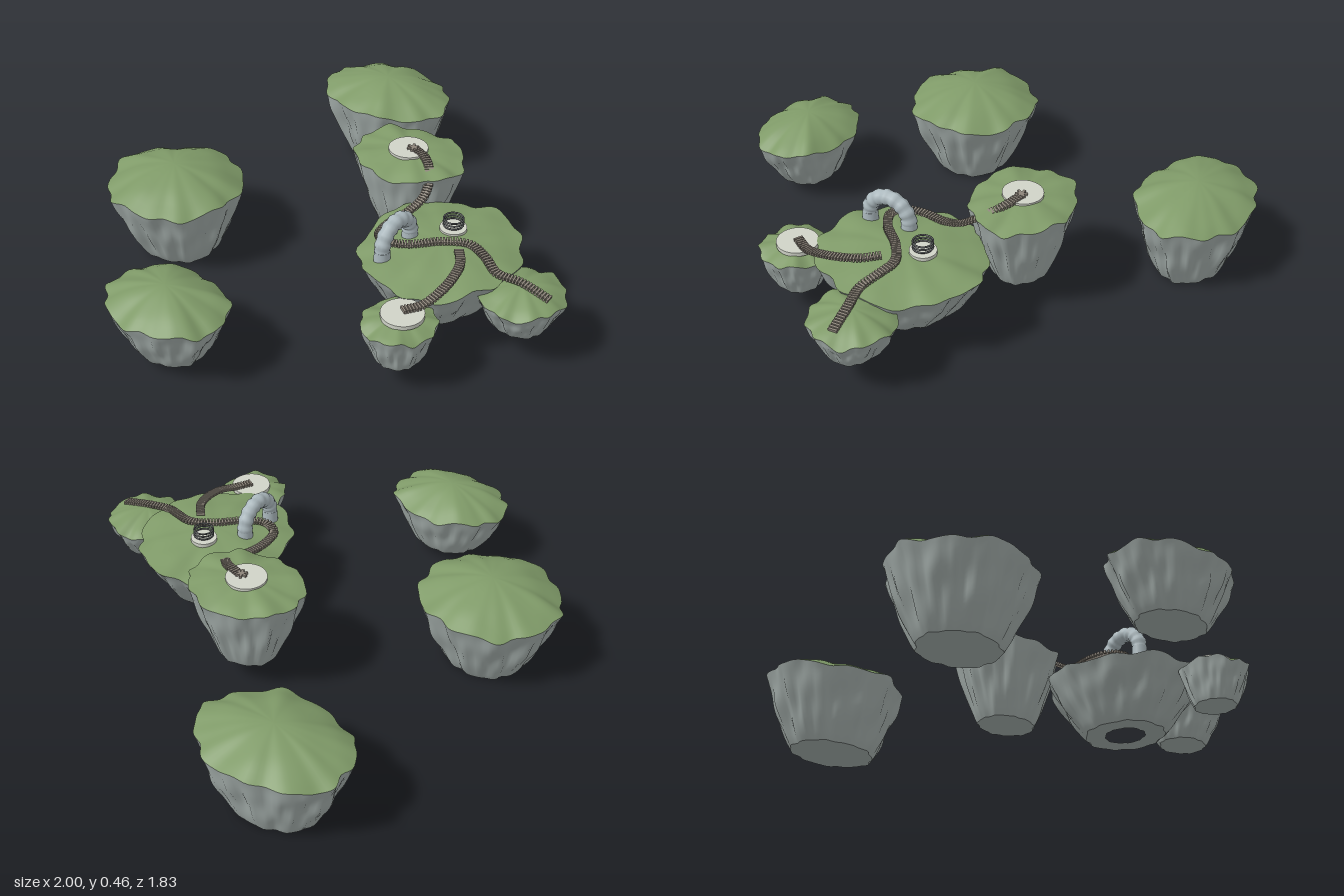
import * as THREE from 'three';

const mat = (color, side = THREE.FrontSide) => new THREE.MeshStandardMaterial({ color, side });
const rockMat = mat(0xa3adaa);
const grassMat = mat(0x7f9a68, THREE.DoubleSide);
const archMat = mat(0xabb8bd);
const pavedMat = mat(0xd0d3c8);
const pathMat = mat(0x8d857a);
const ironMat = mat(0x55585a);

const SEG = 96;

function part(parent, name, geometry, material, x = 0, y = 0, z = 0) {
  const mesh = new THREE.Mesh(geometry, material);
  mesh.name = name;
  mesh.position.set(x, y, z);
  parent.add(mesh);
  return mesh;
}

// Skin stacked closed rings: point(ring, angle) gives [x, y, z]
function skin(rings, point) {
  const pos = [], index = [];
  for (let r = 0; r <= rings; r++) {
    for (let i = 0; i < SEG; i++) {
      pos.push(...point(r / rings, (i / SEG) * Math.PI * 2));
      if (r === rings) continue;
      const a = r * SEG + i, b = r * SEG + ((i + 1) % SEG);
      index.push(a, a + SEG, b, b, a + SEG, b + SEG);
    }
  }
  const g = new THREE.BufferGeometry();
  g.setAttribute('position', new THREE.Float32BufferAttribute(pos, 3));
  g.setIndex(index);
  g.computeVertexNormals();
  return g;
}

// Floating island: craggy tapering rock under a domed grass cap
function island(parent, name, o) {
  const { x, z, rx, rz, bx, bz, bottom, rim, top, seed, hole = 0 } = o;
  const group = new THREE.Group();
  group.name = name;
  group.position.set(x, 0, z);
  parent.add(group);

  const outline = (a) => 0.965 + 0.024 * Math.sin(11 * a + seed)
    + 0.016 * Math.sin(5 * a + seed * 2.3) + 0.012 * Math.sin(17 * a + seed * 4.1);
  const rimY = (a) => rim + 0.008 * Math.sin(4 * a + seed) + 0.005 * Math.sin(9 * a + seed * 3);
  const side = (t, a) => {
    const k = Math.pow(t, 0.85);
    const belly = Math.sin(Math.PI * t);
    const crag = 1 + belly * (0.022 * Math.sin(19 * a + 3 * t + seed) + 0.018 * Math.sin(29 * a - 5 * t + seed * 5)
      + 0.025 * Math.sin(7 * a + 4 * t + seed) + 0.01 * Math.sin(11 * t + 3 * a));
    const f = outline(a + 0.12 * (1 - t)) * crag;
    return [Math.cos(a) * f * (bx + (rx - bx) * k), bottom + (rimY(a) - bottom) * t,
      Math.sin(a) * f * (bz + (rz - bz) * k)];
  };
  part(group, 'rockSide', skin(18, side), rockMat);

  // Underside, optionally pierced
  part(group, 'rockBase', skin(2, (t, a) => {
    const [px, py, pz] = side(0, a), s = hole + (1 - hole) * t;
    return [px * s, py, pz * s];
  }), rockMat);

  // Grass cap shares the rim outline
  part(group, 'grassCap', skin(12, (t, a) => {
    const s = 1 - t, [px, py, pz] = side(1, a);
    const dome = 1 - Math.pow(s, 1.9);
    const ripple = 0.004 * Math.sin(px * s * 34 + seed) * Math.sin(pz * s * 27 + seed) * s;
    return [px * s, py + (top - py) * dome + ripple * Math.min(1, t * 5), pz * s];
  }), grassMat);
}

// Plank walkway laid along a curve
function walkway(parent, name, points) {
  const group = new THREE.Group();
  group.name = name;
  parent.add(group);
  const curve = new THREE.CatmullRomCurve3(points.map((p) => new THREE.Vector3(...p)));
  const count = Math.round(curve.getLength() / 0.0115);
  part(group, 'walkwayCore', new THREE.TubeGeometry(curve, count * 2, 0.008, 6), pathMat);
  const planks = new THREE.BoxGeometry(0.034, 0.012, 0.0075);
  for (let i = 0; i <= count; i++) {
    const u = i / count, p = curve.getPointAt(u), d = curve.getTangentAt(u);
    const plank = part(group, 'plank', planks, pathMat, p.x, p.y + 0.005, p.z);
    plank.lookAt(p.x + d.x, p.y + 0.005 + d.y, p.z + d.z);
  }
}

export function createModel() {
  const model = new THREE.Group();
  model.name = 'floatingIslands';

  // Outlying islands
  island(model, 'backIsland', { x: -0.29, z: -0.65, rx: 0.265, rz: 0.275, bx: 0.14, bz: 0.155, bottom: 0, rim: 0.285, top: 0.37, seed: 1.3 });
  island(model, 'farLeftIsland', { x: 0.775, z: -0.43, rx: 0.225, rz: 0.295, bx: 0.135, bz: 0.175, bottom: 0, rim: 0.285, top: 0.36, seed: 2.7 });
  island(model, 'farRightIsland', { x: -0.81, z: -0.185, rx: 0.193, rz: 0.248, bx: 0.108, bz: 0.135, bottom: 0.05, rim: 0.25, top: 0.325, seed: 4.2 });

  // Linked cluster
  island(model, 'mainIsland', { x: -0.01, z: 0.41, rx: 0.325, rz: 0.295, bx: 0.17, bz: 0.15, bottom: 0.07, rim: 0.29, top: 0.33, seed: 0.4, hole: 0.5 });
  island(model, 'tallIsland', { x: 0.283, z: 0.045, rx: 0.195, rz: 0.23, bx: 0.102, bz: 0.12, bottom: 0.1, rim: 0.4, top: 0.43, seed: 5.5 });
  island(model, 'rightPod', { x: -0.395, z: 0.51, rx: 0.14, rz: 0.135, bx: 0.085, bz: 0.08, bottom: 0.1, rim: 0.25, top: 0.28, seed: 3.6 });
  island(model, 'frontPod', { x: -0.005, z: 0.75, rx: 0.163, rz: 0.163, bx: 0.09, bz: 0.1, bottom: 0.12, rim: 0.25, top: 0.295, seed: 6.1 });

  // Walkways joining the islands
  walkway(model, 'longWalkway', [[0.285, 0.43, 0.07], [0.26, 0.425, 0.14], [0.2, 0.395, 0.2], [0.13, 0.355, 0.225],
    [0.05, 0.325, 0.21], [-0.04, 0.32, 0.195], [-0.12, 0.32, 0.21], [-0.145, 0.325, 0.26], [-0.11, 0.33, 0.34],
    [-0.03, 0.333, 0.42], [0.02, 0.333, 0.51], [0, 0.325, 0.59], [-0.03, 0.305, 0.66], [-0.015, 0.3, 0.75], [-0.008, 0.275, 0.86]]);
  walkway(model, 'sideWalkway', [[-0.38, 0.29, 0.515], [-0.32, 0.29, 0.55], [-0.24, 0.31, 0.57],
    [-0.15, 0.325, 0.565], [-0.09, 0.332, 0.545], [-0.04, 0.335, 0.505]]);

  // Stone arch, tube roughened by a rule
  const arch = new THREE.TorusGeometry(0.082, 0.029, 14, 40, Math.PI);
  const p = arch.attributes.position;
  for (let i = 0; i < p.count; i++) {
    const a = Math.atan2(p.getY(i), p.getX(i));
    const c = new THREE.Vector3(Math.cos(a) * 0.082, Math.sin(a) * 0.082, 0);
    const v = new THREE.Vector3().fromBufferAttribute(p, i).sub(c);
    v.multiplyScalar(1 + 0.07 * Math.sin(16 * a)).add(c);
    p.setXYZ(i, v.x, v.y, v.z);
  }
  arch.computeVertexNormals();
  part(model, 'stoneArch', arch, archMat, -0.13, 0.343, 0.295);
  for (const s of [-1, 1]) {
    part(model, 'archFoot', new THREE.CylinderGeometry(0.029, 0.032, 0.06, 16), archMat, -0.13 + s * 0.082, 0.315, 0.295);
  }

  // Paved discs
  for (const [x, y, z, r] of [[0.28, 0.426, 0.043, 0.076], [-0.385, 0.279, 0.515, 0.077], [0.072, 0.329, 0.402, 0.05]]) {
    part(model, 'pavedDisc', new THREE.CylinderGeometry(r, r, 0.016, 40), pavedMat, x, y, z);
  }

  // Hovering rings over the central disc
  for (let i = 0; i < 3; i++) {
    const ring = part(model, 'hoverRing', new THREE.TorusGeometry(0.036, 0.0035, 8, 36), ironMat, 0.072, 0.35 + i * 0.012, 0.402);
    ring.rotation.x = Math.PI / 2;
  }

  // Small star of rods on the tall island
  for (let i = 0; i < 3; i++) {
    const rod = part(model, 'markerRod', new THREE.BoxGeometry(0.045, 0.008, 0.009), pathMat, 0.283, 0.438, 0.062);
    rod.rotation.y = 0.4 + (i * Math.PI) / 3;
  }
  return model;
}
